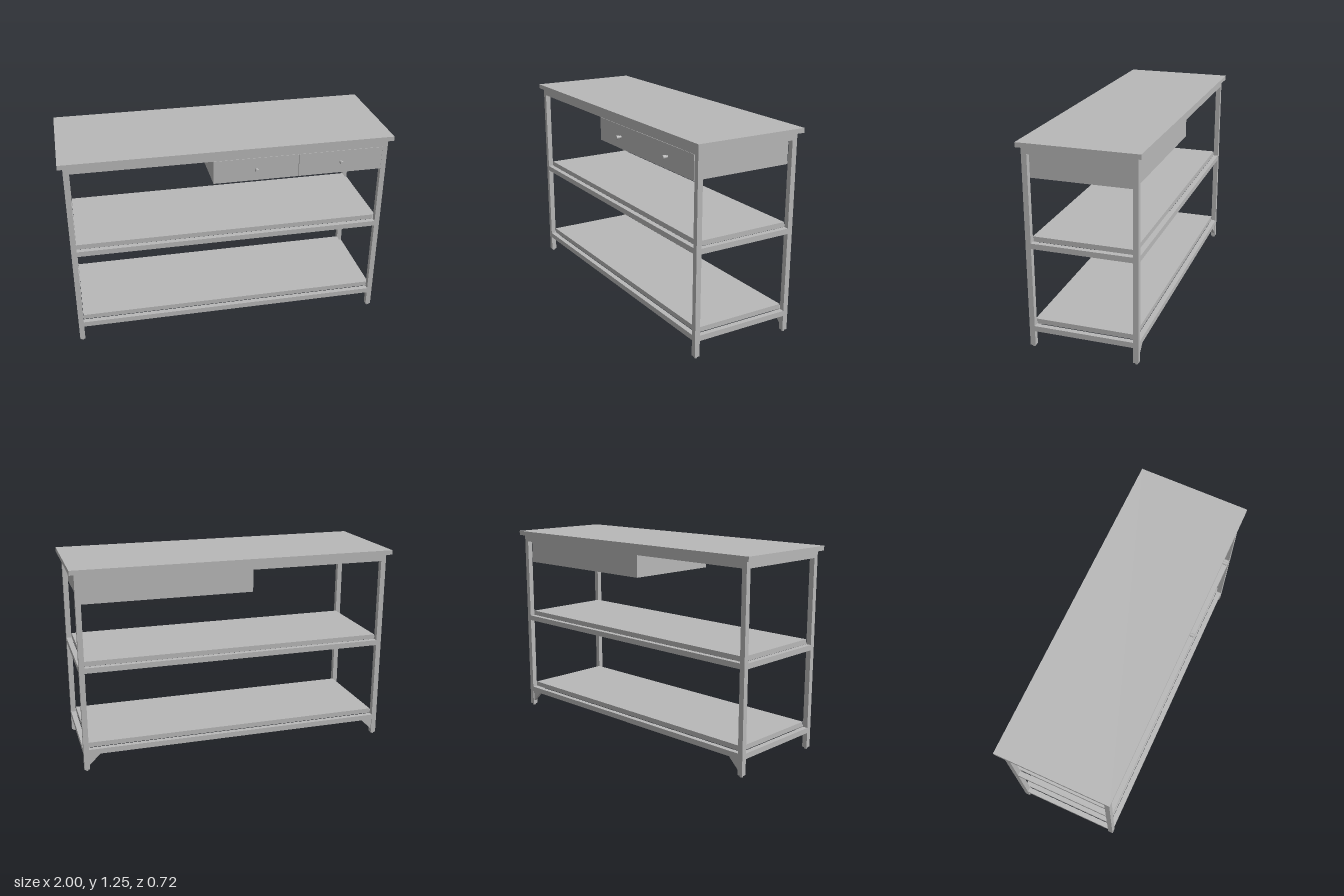
import * as THREE from 'three';

export function createModel() {
  const model = new THREE.Group();
  model.name = 'workbench';
  const steel = new THREE.MeshStandardMaterial({ color: 0xb8b8b8 });
  steel.name = 'brushed steel';

  const add = (name, geometry, x = 0, y = 0, z = 0) => {
    const mesh = new THREE.Mesh(geometry, steel);
    mesh.name = name;
    mesh.position.set(x, y, z);
    model.add(mesh);
    return mesh;
  };
  // Box given by its limits on each axis
  const block = (name, x0, x1, y0, y1, z0, z1) =>
    add(name, new THREE.BoxGeometry(x1 - x0, y1 - y0, z1 - z0),
      (x0 + x1) / 2, (y0 + y1) / 2, (z0 + z1) / 2);

  const legX = 0.955, half = 0.016, frontZ = 0.309, backZ = -0.321;
  const innerX = legX - half;
  const innerFront = frontZ - half, innerBack = backZ + half;

  block('tabletop', -1, 1, 1.222, 1.25, -0.36, 0.345);

  // Square legs on small round feet
  for (const x of [-legX, legX]) {
    for (const z of [frontZ, backZ]) {
      block('leg', x - half, x + half, 0.012, 1.222, z - half, z + half);
      add('foot', new THREE.CylinderGeometry(0.011, 0.009, 0.012, 16), x, 0.006, z);
    }
  }

  // Rail frames below the top and both shelves
  for (const [y0, y1] of [[1.18, 1.222], [0.627, 0.66], [0.107, 0.14]]) {
    for (const z of [frontZ, backZ])
      block('longRail', -innerX, innerX, y0, y1, z - half, z + half);
    for (const x of [-legX, legX])
      block('sideRail', x - half, x + half, y0, y1, innerBack, innerFront);
  }

  // Shelf boards
  for (const y of [0.66, 0.142])
    block('shelf', -0.937, 0.937, y, y + 0.03, innerBack + 0.001, innerFront - 0.001);

  // Drawer housing with two fronts and knobs
  block('drawerHousing', -0.105, 0.937, 1.036, 1.18, innerBack + 0.001, 0.318);
  for (const [x0, x1] of [[-0.105, 0.413], [0.417, 0.937]]) {
    block('drawerFront', x0, x1, 1.036, 1.18, 0.318, 0.328);
    const x = (x0 + x1) / 2;
    add('knobStem', new THREE.CylinderGeometry(0.008, 0.008, 0.016, 20), x, 1.108, 0.335)
      .rotation.x = Math.PI / 2;
    add('knob', new THREE.CylinderGeometry(0.011, 0.011, 0.02, 20), x, 1.108, 0.35)
      .rotation.x = Math.PI / 2;
  }

  // Triangular gussets bracing the back legs
  for (const s of [-1, 1]) {
    const shape = new THREE.Shape([
      new THREE.Vector2(s * innerX, 0.107),
      new THREE.Vector2(s * (innerX - 0.072), 0.107),
      new THREE.Vector2(s * innerX, 0.036),
    ]);
    add('gusset', new THREE.ExtrudeGeometry(shape, { depth: 0.02, bevelEnabled: false }),
      0, 0, backZ - 0.01);
  }
  return model;
}
